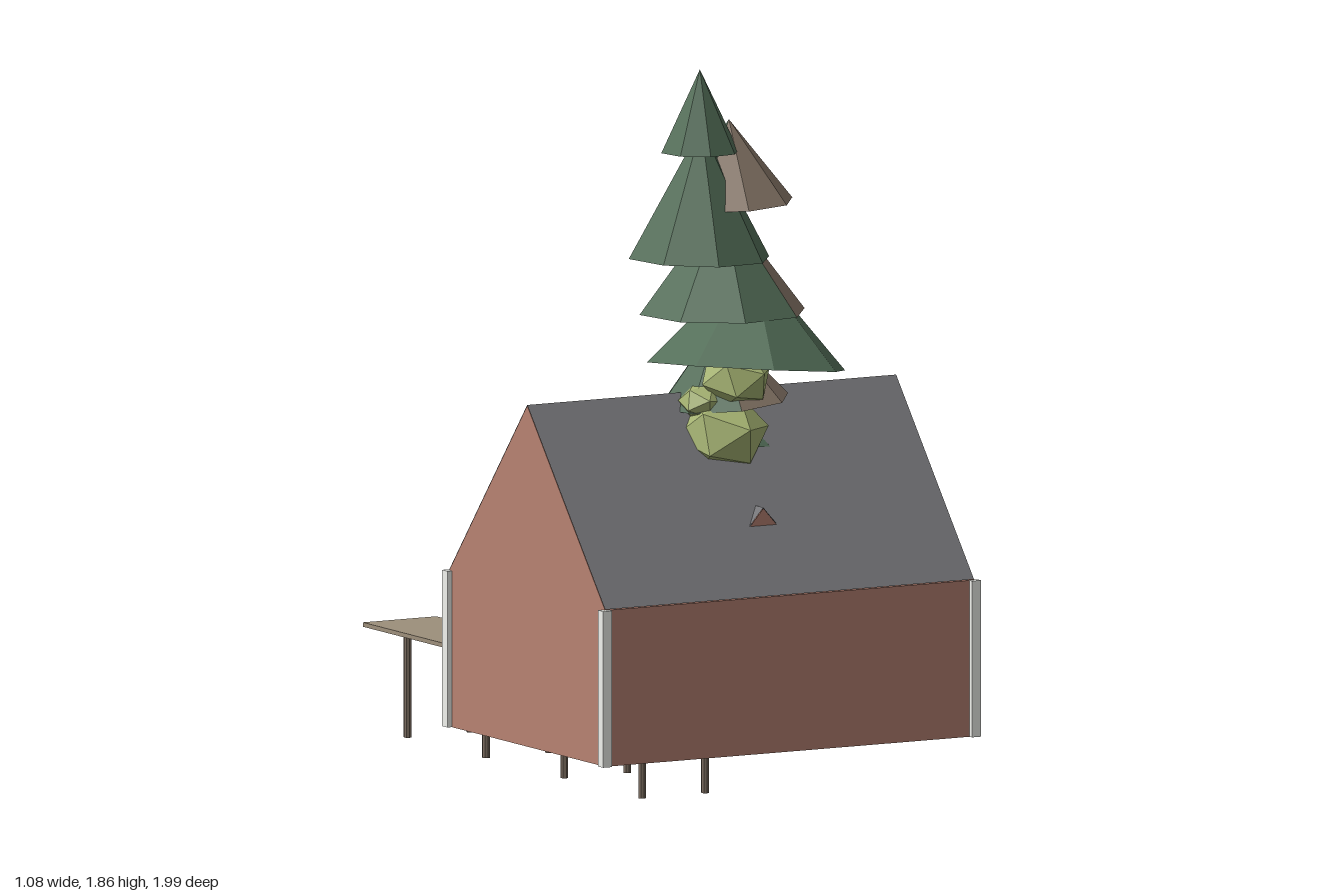
import * as THREE from 'three';
import { mergeGeometries } from 'three/addons/utils/BufferGeometryUtils.js';

const mat = (color, side = THREE.FrontSide) =>
  new THREE.MeshStandardMaterial({ color, side, flatShading: true });
const brick = mat(0xb78272, THREE.DoubleSide);
const slate = mat(0x757578, THREE.DoubleSide);
const white = mat(0xf2f3ee);
const pane = mat(0xe4e4e0);
const plank = mat(0x9d8f7b);
const pileWood = mat(0x7d6f62);
const needles = mat(0x526d57, THREE.DoubleSide);
const bark = mat(0x887869, THREE.DoubleSide);
const leaf = mat(0xa5b372);
const stone = mat(0xb0b4b4);

const HOUSE_Z = 0.583;

function add(parent, name, geometry, material, x = 0, y = 0, z = 0) {
  const mesh = new THREE.Mesh(geometry, material);
  mesh.name = name;
  mesh.position.set(x, y, z);
  parent.add(mesh);
  return mesh;
}

// Box given by its limits on each axis
function box(parent, name, material, [x0, x1], [y0, y1], [z0, z1]) {
  return add(parent, name, new THREE.BoxGeometry(x1 - x0, y1 - y0, z1 - z0), material,
    (x0 + x1) / 2, (y0 + y1) / 2, (z0 + z1) / 2);
}

// Open-bottomed gabled shell, ridge along x, with corner posts
function house(name, hx, hz, base, eave, ridge) {
  const g = new THREE.Group();
  g.name = name;
  const gable = new THREE.Shape([[-hz, base], [hz, base], [hz, eave], [0, ridge], [-hz, eave]]
    .map(([a, b]) => new THREE.Vector2(a, b)));
  for (const s of [-1, 1]) {
    add(g, 'gableWall', new THREE.ShapeGeometry(gable), brick, s * hx).rotation.y = s * Math.PI / 2;
    const wall = add(g, 'longWall', new THREE.PlaneGeometry(hx * 2, eave - base), brick,
      0, (base + eave) / 2, s * hz);
    if (s < 0) wall.rotation.y = Math.PI;

    // Roof slope, with a lining in the wall colour just below it
    const rise = ridge - eave;
    const slope = new THREE.PlaneGeometry(hx * 2, Math.hypot(rise, hz));
    slope.rotateX(-Math.atan2(hz, rise));
    slope.translate(0, (eave + ridge) / 2, hz / 2);
    if (s < 0) slope.rotateY(Math.PI);
    add(g, 'roof', slope, slate, 0, 0.002);
    add(g, 'ceiling', slope, brick, 0, -0.004);

    for (const t of [-1, 1]) {
      add(g, 'cornerPost', new THREE.BoxGeometry(0.026, eave - base, 0.026), white,
        s * hx, (base + eave) / 2, t * hz);
    }
  }
  g.position.z = HOUSE_Z;
  return g;
}

// Leaning branch layer; the listed sectors are bare brown
function branchLayer(parent, [x, y, z], r, h, brown, tiltX, tiltZ) {
  const sides = 8, step = Math.PI * 2 / sides;
  const parts = { needles: [], bark: [] };
  for (let i = 0; i < sides; i++) {
    const sector = new THREE.ConeGeometry(r, h, 1, 1, false, (i - 0.3) * step, step);
    (brown.includes(i) ? parts.bark : parts.needles).push(sector);
  }
  const g = new THREE.Group();
  g.name = 'branchLayer';
  add(g, 'greenBranches', mergeGeometries(parts.needles), needles);
  if (parts.bark.length) add(g, 'brownBranches', mergeGeometries(parts.bark), bark);
  g.position.set(x, y + h / 2, z);
  g.rotation.set(tiltX, 0, tiltZ);
  parent.add(g);
}

function tree() {
  const g = new THREE.Group();
  g.name = 'tree';
  add(g, 'trunk', new THREE.CylinderGeometry(0.02, 0.05, 1.5, 6), bark, 0, 0.95, HOUSE_Z);
  // base centre, radius, height, brown sectors, lean
  const layers = [
    [[-0.035, 1.65, 0.585], 0.1, 0.207, [], 0, 0],
    [[0.055, 1.515, 0.58], 0.157, 0.21, [0, 1, 7], 0, 0.04],
    [[-0.04, 1.385, 0.595], 0.182, 0.33, [], 0, -0.02],
    [[0.02, 1.245, 0.6], 0.214, 0.28, [1, 3, 4], 0, 0],
    [[0.065, 1.112, 0.655], 0.257, 0.27, [], -0.08, -0.1],
    [[0.03, 1.015, 0.575], 0.168, 0.2, [0, 1, 2, 3], 0, 0.08],
    [[0.015, 0.89, 0.545], 0.165, 0.2, [2, 3], -0.15, 0],
  ];
  for (const layer of layers) branchLayer(g, ...layer);

  // Small bushes at the foot of the visible tree
  for (const [x, y, z, r] of [[-0.012, 0.952, 0.652, 0.122], [0.02, 1.09, 0.67, 0.095], [-0.06, 1.03, 0.64, 0.06]]) {
    const bush = add(g, 'bush', new THREE.IcosahedronGeometry(r, 0), leaf, x, y, z);
    bush.rotation.set(0.3, x * 8 + 0.4, 0.2);
    bush.scale.y = 0.75;
  }
  return g;
}

function pier() {
  const g = new THREE.Group();
  g.name = 'pier';
  box(g, 'deck', plank, [-0.105, 0.105], [0.254, 0.265], [-1, 0.18]);
  for (const z of [0.39, -0.005, -0.402, -0.8]) {
    for (const x of [-0.09, 0.09]) {
      add(g, 'pile', new THREE.CylinderGeometry(0.01, 0.01, 0.258, 8), pileWood, x, 0.129, z);
    }
  }
  return g;
}

export function createModel() {
  const model = new THREE.Group();
  model.name = 'lakeHouse';

  model.add(house('mainHouse', 0.528, 0.395, 0.186, 0.58, 1.045));

  // Cross-gabled inner shell whose ridge ends break through the roof
  const inner = house('innerHouse', 0.262, 0.42, 0.186, 0.3, 0.782);
  inner.rotation.y = Math.PI / 2;
  model.add(inner);

  // Smallest shell at the centre
  model.add(house('coreHouse', 0.21, 0.19, 0.186, 0.3, 0.5));

  // Entrance canopy and windows on the pier side
  box(model, 'doorLintel', white, [-0.17, 0.17], [0.413, 0.43], [0.137, 0.187]);
  for (const s of [-1, 1]) {
    box(model, 'doorPost', white, [s * 0.15 - 0.009, s * 0.15 + 0.009], [0.186, 0.415], [0.152, 0.17]);
    box(model, 'window', pane, [s * 0.235 - 0.065, s * 0.235 + 0.065], [0.28, 0.455], [0.178, 0.189]);
  }

  // Rock bed the tree grows from
  add(model, 'rockBed', new THREE.CylinderGeometry(0.12, 0.185, 0.06, 6), stone, 0, 0.23, HOUSE_Z);

  model.add(pier());
  model.add(tree());
  return model;
}
